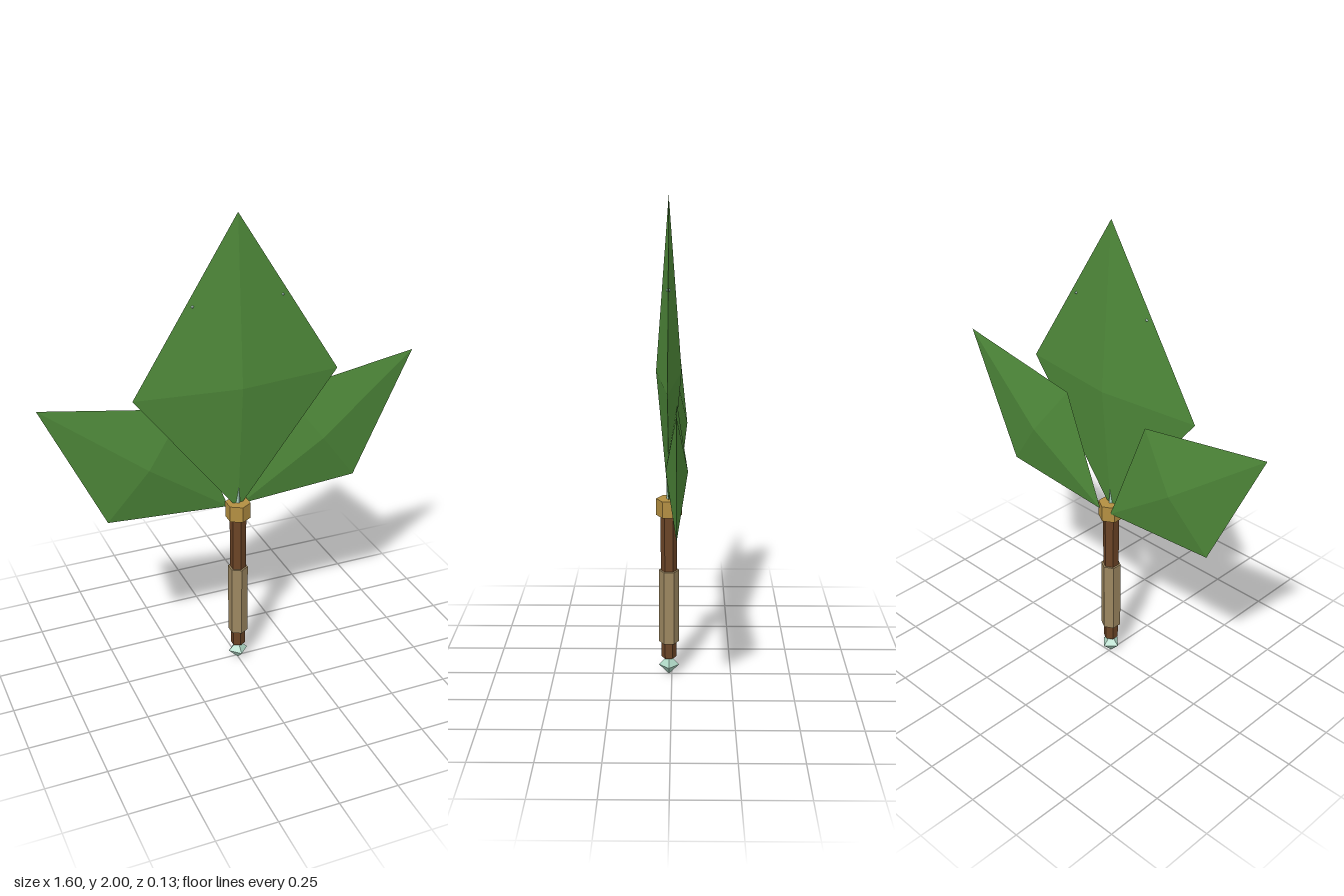
import * as THREE from 'three';
import { ConvexGeometry } from 'three/addons/geometries/ConvexGeometry.js';

const material = (name, color) => {
  const m = new THREE.MeshStandardMaterial({ color, flatShading: true });
  m.name = name;
  return m;
};

export function createModel() {
  const group = new THREE.Group();
  const leafGreen = material('leaf green', 0x4f8a3a);
  const wood = material('dark wood', 0x6b4426);
  const leather = material('tan wrap', 0x9c8760);
  const brass = material('brass', 0xb48f42);
  const crystal = material('pale crystal', 0xaed6c4);
  const Z = 0.012; // depth of the handle axis

  const add = (name, geometry, mat, x, y, z = Z) => {
    const mesh = new THREE.Mesh(geometry, mat);
    mesh.name = name;
    mesh.position.set(x, y, z);
    group.add(mesh);
    return mesh;
  };

  // Faceted kite: four outline corners plus a raised ridge point on each side
  const addLeaf = (name, corners, ridge, z, depth) => {
    const points = corners.map(([x, y]) => new THREE.Vector3(x, y, 0));
    for (const d of [depth, -depth]) points.push(new THREE.Vector3(ridge[0], ridge[1], d));
    add(name, new ConvexGeometry(points), leafGreen, 0, 0, z);
  };

  // Hexagonal handle section between two heights
  const addSection = (name, y0, y1, r0, r1, mat, sides = 6) =>
    add(name, new THREE.CylinderGeometry(r1, r0, y1 - y0, sides), mat, 0, (y0 + y1) / 2);

  // Leaf blades
  addLeaf('centreLeaf', [[0, 0.75], [0.435, 1.31], [0, 2], [-0.435, 1.31]], [0, 1.31], Z, 0.051);
  for (const s of [1, -1]) {
    addLeaf(s > 0 ? 'leftLeaf' : 'rightLeaf',
      [[0.03 * s, 0.75], [0.547 * s, 0.785], [0.8 * s, 1.32], [0.215 * s, 1.225]],
      [0.38 * s, 1.005], -0.022, 0.042);
    // Tiny crystal on each edge of the centre leaf
    add(s > 0 ? 'leftDewdrop' : 'rightDewdrop', new THREE.OctahedronGeometry(0.01), crystal, 0.186 * s, 1.658);
  }

  // Handle, from the pommel up
  add('pommelCrystal', new THREE.OctahedronGeometry(0.043), crystal, 0, 0.043);
  addSection('shaft', 0.08, 0.72, 0.031, 0.035, wood);
  addSection('gripWrap', 0.15, 0.47, 0.042, 0.042, leather);
  addSection('collar', 0.71, 0.78, 0.053, 0.053, brass);
  addSection('crystalStem', 0.77, 0.87, 0.011, 0.009, crystal, 4);

  return group;
}
